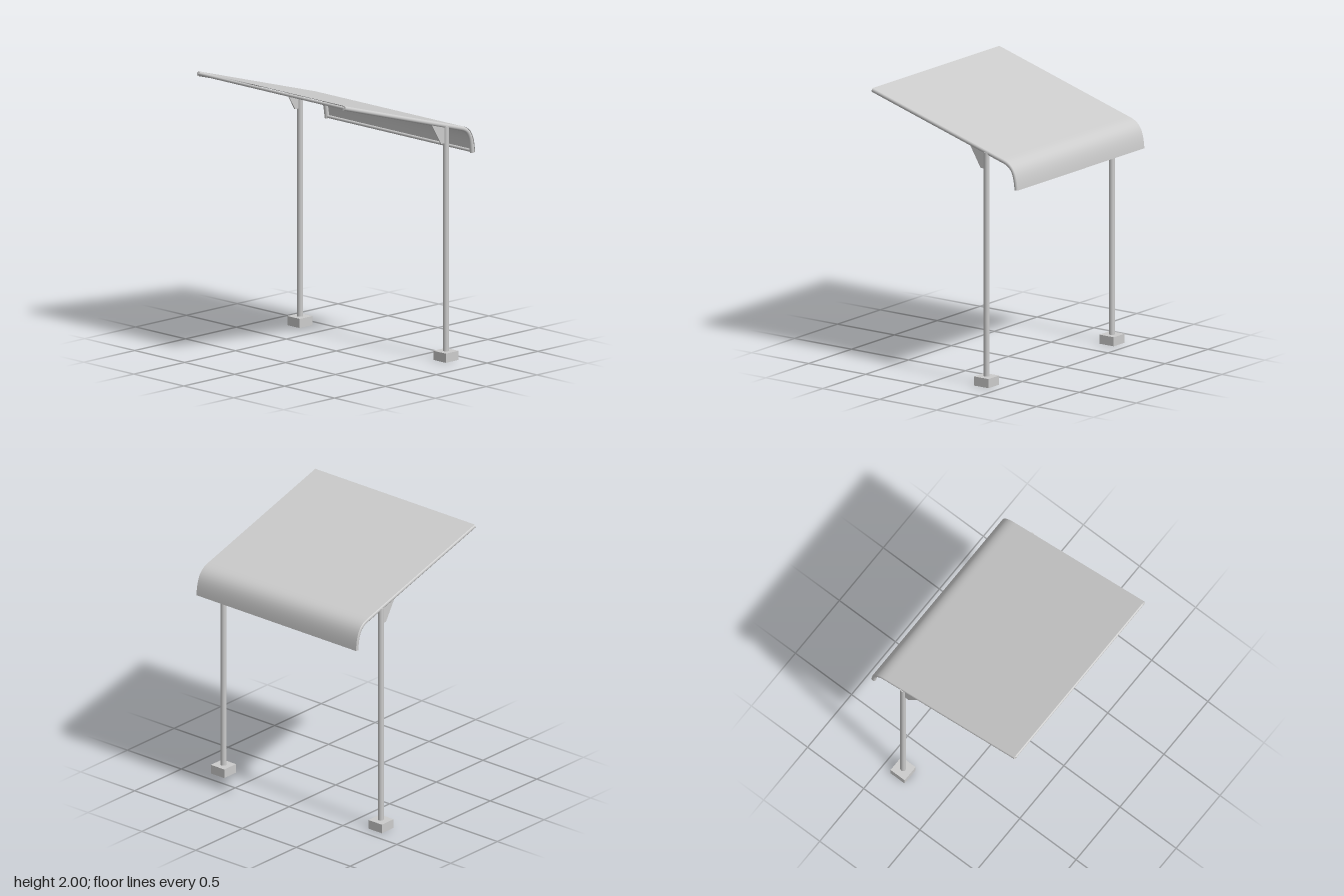
import * as THREE from 'three';

const MAT = new THREE.MeshStandardMaterial({ color: 0xcccccc, side: THREE.DoubleSide });
const HALF = 0.727;   // x of the side tubes and posts
const POST_Z = -0.36;
const TUBE_R = 0.0165;

// Roof line in the y-z plane: straight slope, then a bend down at the back
function roofPath(x = 0) {
  const p = (y, z) => new THREE.Vector3(x, y, z);
  const path = new THREE.CurvePath();
  path.add(new THREE.LineCurve3(p(1.983, 0.64), p(1.645, -0.51)));
  path.add(new THREE.CubicBezierCurve3(p(1.645, -0.51), p(1.622, -0.588), p(1.575, -0.612), p(1.453, -0.622)));
  return path;
}

export function createModel() {
  const group = new THREE.Group();
  const add = (name, geometry, x = 0, y = 0, z = 0) => {
    const mesh = new THREE.Mesh(geometry, MAT);
    mesh.name = name;
    mesh.position.set(x, y, z);
    group.add(mesh);
    return mesh;
  };

  // Roof sheet: a plane whose rows follow the roof line, lying on top of the tubes
  const rows = 80;
  const path = roofPath();
  const pts = path.getSpacedPoints(rows);
  const sheet = new THREE.PlaneGeometry(1.48, 1, 1, rows);
  const pos = sheet.attributes.position;
  for (let i = 0; i < pos.count; i++) {
    const row = rows - Math.floor(i / 2);
    const t = path.getTangentAt(row / rows);
    const c = pts[row];
    pos.setXYZ(i, pos.getX(i), c.y - t.z * TUBE_R, c.z + t.y * TUBE_R);
  }
  // rows run back to front, so the upper side is the front face
  sheet.computeVertexNormals();
  add('roofSheet', sheet);

  // Cross rails between the side tubes
  [0, 0.455, 0.915, 0.992].forEach((u, i) => {
    const at = i === 3 ? roofPath().getPointAt(u) : roofPath().getPointAt(Math.max(u * 0.83, 0.004));
    const rail = add('crossRail', new THREE.CylinderGeometry(0.011, 0.011, HALF * 2, 16), 0, at.y, at.z);
    rail.rotation.z = Math.PI / 2;
  });

  // Gusset outline, drawn as (z, y)
  const gusset = new THREE.Shape([[-0.22, 1.715], [-0.31, 1.567], [-0.36, 1.567], [-0.36, 1.685]]
    .map(([z, y]) => new THREE.Vector2(-z, y)));

  for (const side of [1, -1]) {
    const name = side > 0 ? 'left' : 'right';
    const x = side * HALF;

    // Bent side tube with closed ends
    add(name + 'SideTube', new THREE.TubeGeometry(roofPath(x), 80, TUBE_R, 16));
    for (const u of [0, 1]) {
      const end = roofPath(x).getPointAt(u);
      const dir = roofPath(x).getTangentAt(u).multiplyScalar(u ? 1 : -1);
      const cap = add(name + 'TubeCap', new THREE.CircleGeometry(TUBE_R, 16), end.x, end.y, end.z);
      cap.quaternion.setFromUnitVectors(new THREE.Vector3(0, 0, 1), dir);
    }

    // Post
    add(name + 'Post', new THREE.CylinderGeometry(0.021, 0.021, 1.66, 20), side * 0.73, 0.86, POST_Z);

    // Foot: a box open underneath
    const foot = new THREE.BoxGeometry(0.125, 0.066, 0.125);
    const index = Array.from(foot.index.array);
    index.splice(18, 6);
    foot.setIndex(index);
    add(name + 'Foot', foot, side * 0.731, 0.033, POST_Z);

    // Gusset plate between post and side tube
    const plate = new THREE.ExtrudeGeometry(gusset, { depth: 0.01, bevelEnabled: false });
    plate.translate(0, 0, -0.005).rotateY(Math.PI / 2);
    add(name + 'Gusset', plate, side * 0.73);
  }
  return group;
}
